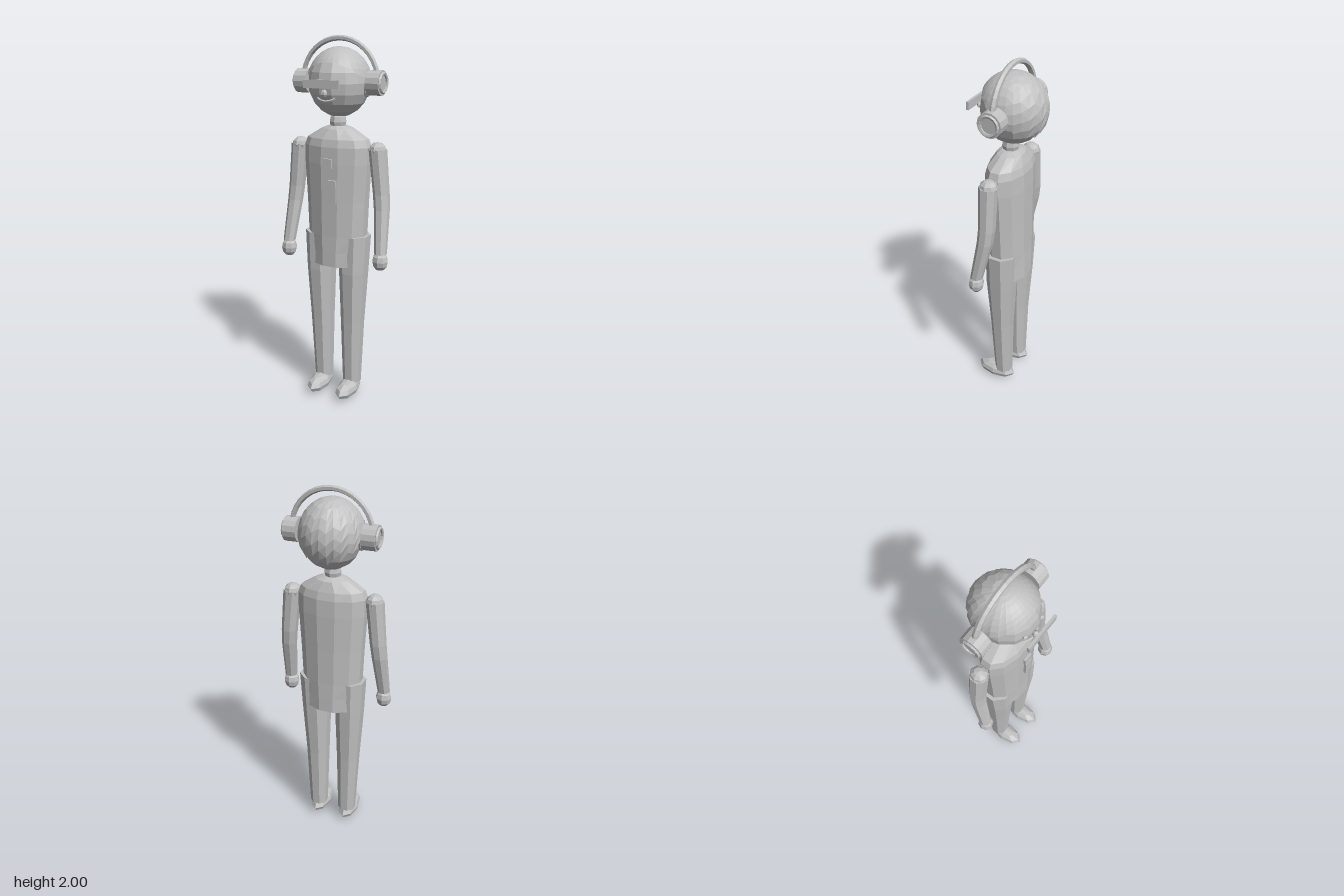
import * as THREE from 'three';

const grey = new THREE.MeshStandardMaterial({ color: 0xc0c0c0, flatShading: true });
grey.name = 'plain grey';
const greyOpen = grey.clone();
greyOpen.name = 'plain grey';
greyOpen.side = THREE.DoubleSide;

function add(parent, name, geometry, x = 0, y = 0, z = 0, material = grey) {
  const mesh = new THREE.Mesh(geometry, material);
  mesh.name = name;
  mesh.position.set(x, y, z);
  parent.add(mesh);
  return mesh;
}

// Joins rings of points into a surface; each ring runs from +z towards +x
function skin(rings) {
  const n = rings[0].length, index = [];
  for (let r = 0; r < rings.length - 1; r++)
    for (let i = 0; i < n; i++) {
      const j = (i + 1) % n, a = r * n + i, b = r * n + j;
      index.push(a, b, b + n, a, b + n, a + n);
    }
  const g = new THREE.BufferGeometry();
  g.setAttribute('position', new THREE.Float32BufferAttribute(rings.flat(2), 3));
  g.setIndex(index);
  g.computeVertexNormals();
  return g;
}

// Closed body from elliptical sections [y, rx, rz, cx, cz], bottom to top
function loft(sections, sides) {
  const cap = ([y, , , cx, cz]) => [y, 0, 0, cx, cz];
  const all = [cap(sections[0]), ...sections, cap(sections[sections.length - 1])];
  return skin(all.map(([y, rx, rz, cx = 0, cz = 0]) =>
    Array.from({ length: sides }, (_, i) => {
      const a = ((i + 0.5) / sides) * Math.PI * 2;
      return [cx + Math.sin(a) * rx, y, cz + Math.cos(a) * rz];
    })));
}

const ball = (rx, ry, rz, w = 8, h = 6) => new THREE.SphereGeometry(1, w, h).scale(rx, ry, rz);

// Hair shell: short fringe in front, zigzag edge behind
function hairGeometry() {
  const cols = 28, rows = 7, rings = [];
  for (let r = rows; r >= 0; r--) {
    const ring = [];
    for (let i = 0; i < cols; i++) {
      const a = (i / cols) * Math.PI * 2;
      const back = (1 - Math.cos(a)) / 2;
      const edge = 0.95 + 1.2 * back + (i % 2 ? 0.17 : -0.08) * back;
      const t = (edge * r) / rows;
      ring.push([0.167 * Math.sin(t) * Math.sin(a), 0.181 * Math.cos(t), 0.176 * Math.sin(t) * Math.cos(a)]);
    }
    rings.push(ring);
  }
  return skin(rings);
}

export function createModel() {
  const model = new THREE.Group();
  model.name = 'figure';

  // Torso, hem and neck
  add(model, 'torso', loft([
    [0.87, 0.155, 0.113], [0.96, 0.17, 0.11], [1.15, 0.178, 0.108], [1.35, 0.19, 0.108],
    [1.44, 0.19, 0.105], [1.48, 0.175, 0.095], [1.53, 0.09, 0.07, 0, -0.005], [1.545, 0.05, 0.045],
  ], 12));
  add(model, 'hem', loft([[0.79, 0.155, 0.113], [0.875, 0.153, 0.111]], 12));
  add(model, 'neck', ball(0.046, 0.055, 0.046), 0, 1.565, 0);

  // Chest details
  add(model, 'chestBadge', new THREE.BoxGeometry(0.05, 0.05, 0.012), 0, 1.36, 0.122);
  add(model, 'chestPanel', new THREE.BoxGeometry(0.048, 0.12, 0.014), 0.02, 1.21, 0.112);

  // Head, hair and face
  const head = new THREE.Group();
  head.name = 'head';
  head.position.set(0, 1.765, -0.017);
  model.add(head);
  add(head, 'skull', ball(0.16, 0.178, 0.169, 14, 10));
  add(head, 'hair', hairGeometry(), 0, 0, 0, greyOpen);
  add(head, 'nose', ball(0.018, 0.02, 0.018, 6, 5), 0, -0.045, 0.171);
  const smile = new THREE.QuadraticBezierCurve3(
    new THREE.Vector3(-0.05, -0.07, 0.145), new THREE.Vector3(0, -0.1, 0.172), new THREE.Vector3(0.05, -0.07, 0.145));
  add(head, 'mouth', new THREE.TubeGeometry(smile, 8, 0.006, 5));
  add(head, 'visor', new THREE.BoxGeometry(0.2, 0.042, 0.013), 0, 0.003, 0.202);

  // Headphone band
  add(head, 'headband', new THREE.TorusGeometry(0.215, 0.014, 6, 18, Math.PI).scale(1, 1, 1.15), 0, 0.007, 0);

  for (const s of [1, -1]) {
    const side = s > 0 ? 'left' : 'right';
    add(head, side + 'Eye', ball(0.015, 0.015, 0.012, 6, 5), s * 0.06, 0.005, 0.156);
    add(head, side + 'Ear', ball(0.025, 0.045, 0.03), s * 0.158, -0.025, 0);

    // Headphone cup with raised rim
    add(head, side + 'EarCup', new THREE.CylinderGeometry(0.064, 0.064, 0.072, 14).rotateZ(Math.PI / 2), s * 0.207, 0.003, 0);
    add(head, side + 'CupRim', new THREE.TorusGeometry(0.047, 0.009, 5, 14).rotateY(Math.PI / 2), s * 0.245, 0.003, 0);

    // Arm with shoulder and hand
    add(model, side + 'Shoulder', ball(0.046, 0.042, 0.05), s * 0.228, 1.43, 0);
    add(model, side + 'Arm', loft([
      [0.89, 0.034, 0.034, s * 0.279, 0.055], [1.12, 0.042, 0.043, s * 0.262, 0.008],
      [1.2, 0.044, 0.045, s * 0.254, 0], [1.435, 0.048, 0.05, s * 0.23, 0],
    ], 8));
    add(model, side + 'Hand', ball(0.044, 0.053, 0.042), s * 0.279, 0.85, 0.058);

    // Leg and shoe
    add(model, side + 'Leg', loft([
      [0.075, 0.052, 0.052, s * 0.09, 0], [0.45, 0.066, 0.066, s * 0.094, 0.005],
      [0.75, 0.08, 0.086, s * 0.099, 0.005], [0.96, 0.09, 0.09, s * 0.1, 0],
    ], 8));
    add(model, side + 'Shoe', ball(0.056, 0.048, 0.12, 8, 6), s * 0.09, 0.048, 0.05);
  }
  return model;
}
